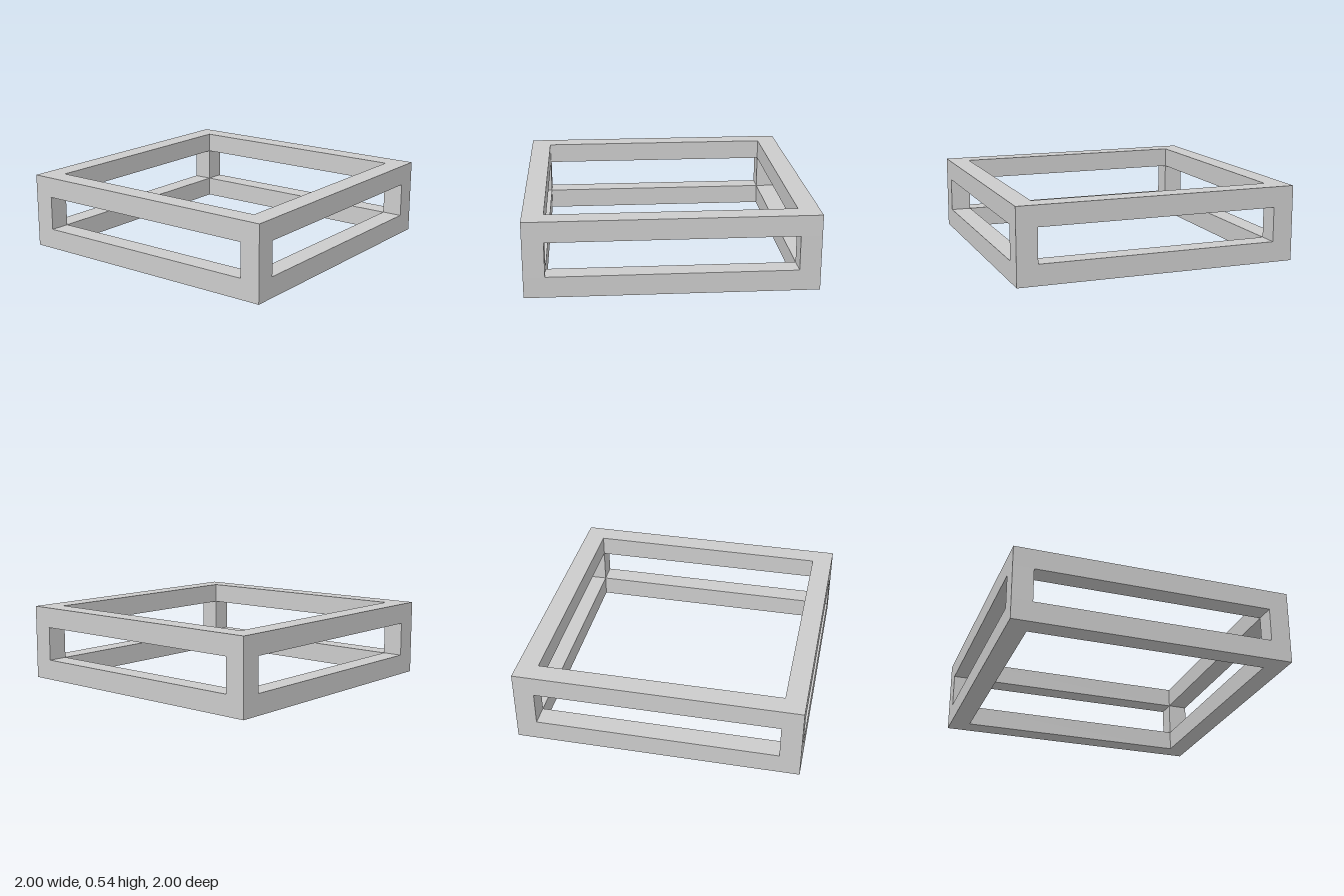
import * as THREE from 'three';

const HALF = 1, HEIGHT = 0.535, BAR = 0.146;

// Closed square outline of the given half width
function square(PathType, h) {
  const path = new PathType();
  path.moveTo(-h, -h);
  path.lineTo(h, -h);
  path.lineTo(h, h);
  path.lineTo(-h, h);
  path.closePath();
  return path;
}

export function createModel() {
  const group = new THREE.Group();
  group.name = 'openBoxFrame';
  const material = new THREE.MeshStandardMaterial({ color: 0xcccccc, flatShading: true });

  function add(name, geometry, x, y, z) {
    const mesh = new THREE.Mesh(geometry, material);
    mesh.name = name;
    mesh.position.set(x, y, z);
    group.add(mesh);
  }

  // Square rings at the bottom and top
  const outline = square(THREE.Shape, HALF);
  outline.holes.push(square(THREE.Path, HALF - BAR));
  const ring = new THREE.ExtrudeGeometry(outline, { depth: BAR, bevelEnabled: false });
  ring.rotateX(-Math.PI / 2);
  add('bottomRing', ring, 0, 0, 0);
  add('topRing', ring, 0, HEIGHT - BAR, 0);

  // Four corner posts joining the rings
  const post = new THREE.BoxGeometry(BAR, HEIGHT - 2 * BAR, BAR);
  const offset = HALF - BAR / 2;
  for (const sx of [-1, 1]) {
    for (const sz of [-1, 1]) {
      const name = (sz > 0 ? 'front' : 'back') + (sx > 0 ? 'Left' : 'Right') + 'Post';
      add(name, post, sx * offset, HEIGHT / 2, sz * offset);
    }
  }
  return group;
}
